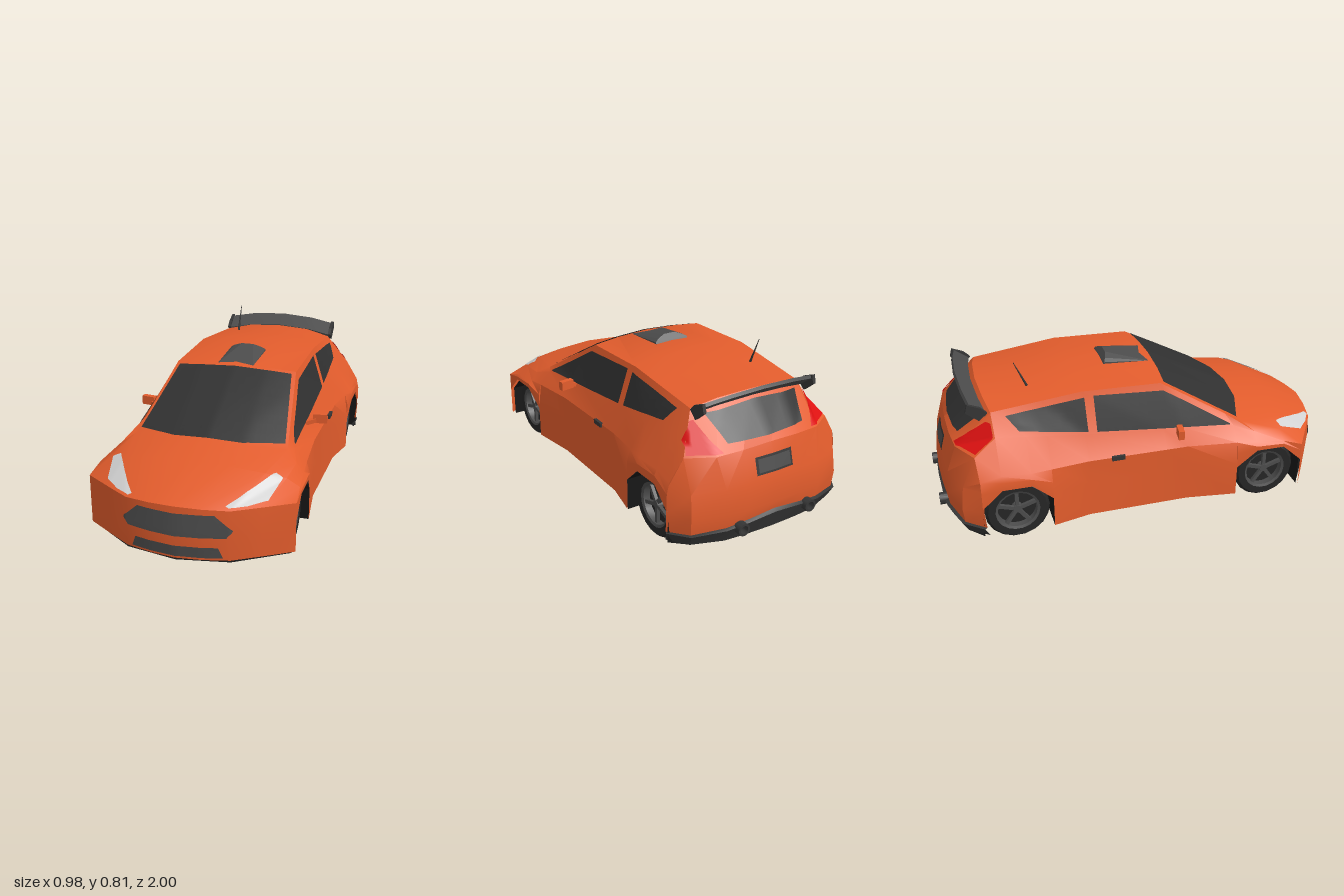
import * as THREE from 'three';
import { mergeGeometries, toCreasedNormals } from 'three/addons/utils/BufferGeometryUtils.js';
import { ConvexGeometry } from 'three/addons/geometries/ConvexGeometry.js';

const paint = (name, color) => new THREE.MeshStandardMaterial({ name, color, side: THREE.DoubleSide });
const V = (x, y, z) => new THREE.Vector3(x, y, z);
const mix = (a, b, t) => a.map((v, i) => v + (b[i] - v) * t);
const flip = (pts, s = -1) => pts.map(([x, ...rest]) => [x * s, ...rest]);
const mirror = (half) => [...half, ...flip(half.slice(0, -1).reverse())];

// Guide line along the car: each key is [station, ...value]
const rail = (...keys) => (z) => {
  let i = 1;
  while (i < keys.length - 1 && z < keys[i][0]) i++;
  const [a, b] = [keys[i - 1], keys[i]];
  return mix(a, b, THREE.MathUtils.clamp((a[0] - z) / (a[0] - b[0]), 0, 1)).slice(1);
};

// Surface through rows of [x, y, z] points
function grid(rows) {
  const n = rows[0].length, index = [];
  for (let i = 0; i < rows.length - 1; i++)
    for (let j = 0; j < n - 1; j++) {
      const a = i * n + j, c = a + n;
      index.push(a, c, a + 1, a + 1, c, c + 1);
    }
  const g = new THREE.BufferGeometry();
  g.setAttribute('position', new THREE.Float32BufferAttribute(rows.flat(2), 3));
  g.setIndex(index);
  g.computeVertexNormals();
  return g;
}
const creased = (rows) => toCreasedNormals(grid(rows), 0.4);

// Body guide lines, front to back
const FRONT = 0.618, REAR = -0.653, SILL = 0.062;
const flank = rail([0.786, 0.49], [0.548, 0.486], [0.45, 0.472], [0.2, 0.437], [-0.3, 0.437], [-0.485, 0.475], [-0.583, 0.481], [-0.821, 0.478]);
const shoulder = rail([0.786, 0.49, 0.31], [0.688, 0.48, 0.34], [0.45, 0.455, 0.355], [0.2, 0.437, 0.366],
  [-0.3, 0.437, 0.37], [-0.583, 0.468, 0.372], [-0.723, 0.466, 0.38], [-0.821, 0.465, 0.36]);
const belt = rail([0.786, 0.36, 0.31, 0.87], [0.688, 0.42, 0.375, 0.69], [0.548, 0.43, 0.39, 0.55], [0.45, 0.395, 0.42, 0.45],
  [-0.3, 0.373, 0.482, -0.3], [-0.723, 0.365, 0.53, -0.725], [-0.821, 0.4, 0.46, -0.83]);
const roofEdge = rail([0.786, 0.24, 0.31, 0.945], [0.688, 0.33, 0.4, 0.72], [0.548, 0.375, 0.425, 0.5], [0.09, 0.31, 0.668, 0.09],
  [-0.3, 0.31, 0.68, -0.3], [-0.723, 0.3, 0.63, -0.73], [-0.821, 0.28, 0.465, -0.905]);
const roofMid = rail([0.786, 0.12, 0.315, 0.975], [0.688, 0.17, 0.42, 0.74], [0.548, 0.18, 0.443, 0.55], [0.09, 0.17, 0.68, 0.1],
  [-0.3, 0.17, 0.703, -0.3], [-0.723, 0.17, 0.657, -0.75], [-0.821, 0.15, 0.47, -0.92]);
const spine = rail([0.786, 0, 0.32, 0.99], [0.688, 0, 0.428, 0.75], [0.548, 0, 0.455, 0.56], [0.09, 0, 0.687, 0.105],
  [-0.3, 0, 0.71, -0.3], [-0.723, 0, 0.665, -0.76], [-0.821, 0, 0.475, -0.925]);

// Half section from lower edge to centre line
function section([z, bottom]) {
  const [w] = flank(z), [sx, sy] = shoulder(z);
  return [[w, bottom, z], [w, bottom + 0.6 * (sy - bottom), z], [sx, sy, z], belt(z), roofEdge(z), roofMid(z), spine(z)];
}
const archTop = [[0.168, 0.22], [0.07, 0.31], [-0.07, 0.31], [-0.168, 0.22]];
const archAt = (zc) => archTop.map(([z, y]) => [z + zc, y]);
const bumper = [[0.478, -0.815], [0.41, -0.91], [0.26, -0.965], [0.15, -0.975], [0, -0.98]];
const bumperRow = (y, rise, scale) => bumper.map(([x, z]) => [x * scale, y + rise * (1 - x / 0.478), z * scale]);

function bodyGeometry() {
  const sills = [0.45, 0.2, 0.09, -0.3, -0.485].map((z) => [z, SILL]);
  const sections = [...archAt(FRONT), ...sills, ...archAt(REAR)].map(section);
  const nose = sections[0].slice(2), tail = sections[sections.length - 1].slice(2);
  const noseRow = (y, bulge) => nose.map(([x, , z]) => [x, y, z + bulge * (1 - (x / 0.49) ** 2)]);
  const front = [noseRow(0.073, 0), noseRow(0.19, 0.01), nose];
  const rear = [tail, bumperRow(0.31, 0.02, 0.985), bumperRow(0.2, 0, 1), bumperRow(0.11, 0.05, 0.99)];
  return toCreasedNormals(mergeGeometries([sections, front, rear].map((s) => grid(s.map(mirror)))), 0.45);
}

export function createModel() {
  const car = new THREE.Group();
  car.name = 'car';
  const orange = paint('orange paint', 0xe25c2c), glass = paint('dark glass', 0x313131),
    black = paint('black underside', 0x171717), tyreMat = paint('tyre rubber', 0x262626),
    grey = paint('grey trim', 0x4c4c4c), dark = paint('dark trim', 0x363636),
    lamp = paint('headlight white', 0xd2d2d2), red = paint('taillight red', 0xdc1010);
  const add = (name, geo, mat, parent = car) => {
    const m = new THREE.Mesh(geo, mat);
    m.name = name;
    parent.add(m);
    return m;
  };
  const box = (name, size, pos, mat, parent) => {
    const m = add(name, new THREE.BoxGeometry(...size), mat, parent);
    m.position.set(...pos);
    return m;
  };
  const hull = (name, pts, mat) => add(name, new ConvexGeometry(pts.map((p) => V(...p))), mat);
  const body = add('body', bodyGeometry(), orange);
  body.updateMatrixWorld();

  // Thin plates laid on the body between two 2D edges
  const ray = new THREE.Raycaster();
  const from = {
    front: [(a, b) => V(a, b, 3), V(0, 0, -1)], back: [(a, b) => V(a, b, -3), V(0, 0, 1)],
    top: [(a, b) => V(a, 3, b), V(0, -1, 0)],
    left: [(a, b) => V(3, b, a), V(-1, 0, 0)], right: [(a, b) => V(-3, b, a), V(1, 0, 0)],
  };
  function plate(name, mat, view, edgeA, edgeB, lift = 0.005) {
    const [origin, dir] = from[view], rows = [], S = 8;
    const at = (e, u) => {
      const i = Math.min(Math.floor(u), e.length - 2);
      return mix(e[i], e[i + 1], u - i);
    };
    for (let v = 0; v <= S; v++) {
      const row = [];
      for (let u = 0; u <= (edgeA.length - 1) * S; u++) {
        ray.set(origin(...mix(at(edgeA, u / S), at(edgeB, u / S), v / S)), dir);
        const hit = ray.intersectObject(body)[0];
        if (!hit) { row.push(row[row.length - 1] ?? rows[v - 1][u]); continue; }
        const n = hit.face.normal.clone();
        if (n.dot(dir) > 0) n.negate();
        row.push(hit.point.addScaledVector(n, lift).toArray());
      }
      rows.push(row);
    }
    add(name, grid(rows), mat);
  }
  plate('windscreen', glass, 'top', mirror([[0.292, 0.11], [0.16, 0.12], [0, 0.122]]), mirror([[0.357, 0.475], [0.17, 0.54], [0, 0.552]]));
  plate('rearWindow', glass, 'back', mirror([[0.255, 0.61], [0, 0.63]]), mirror([[0.21, 0.5], [0, 0.497]]));
  plate('upperGrille', grey, 'front', [[-0.25, 0.222], [-0.175, 0.29], [0.175, 0.29], [0.25, 0.222]],
    [[-0.25, 0.216], [-0.225, 0.186], [0.225, 0.186], [0.25, 0.216]]);
  plate('lowerGrille', grey, 'front', mirror([[0.19, 0.138], [0, 0.138]]), mirror([[0.21, 0.086], [0, 0.086]]));
  plate('plateSurround', dark, 'back', mirror([[0.1, 0.425], [0, 0.425]]), mirror([[0.1, 0.345], [0, 0.345]]));
  plate('numberPlate', grey, 'back', mirror([[0.088, 0.415], [0, 0.415]]), mirror([[0.088, 0.355], [0, 0.355]]), 0.008);

  const lathe = (...pts) => toCreasedNormals(new THREE.LatheGeometry(pts.map((p) => new THREE.Vector2(...p)), 18), 0.4);

  // Wheel: axis along x, outer face towards local +y
  function addWheel(name, s, zc) {
    const wheel = new THREE.Group();
    wheel.name = name;
    wheel.position.set(0.388 * s, 0.157, zc);
    wheel.rotation.z = -s * Math.PI / 2;
    car.add(wheel);
    add('tyre', lathe([0.108, -0.05], [0.143, -0.05], [0.157, -0.034], [0.157, 0.034], [0.143, 0.05], [0.108, 0.05]), tyreMat, wheel);
    add('rim', lathe([0.096, 0.01], [0.096, 0.044], [0.11, 0.05]), grey, wheel);
    add('rimDish', lathe([0, 0.01], [0.098, 0.01]), tyreMat, wheel);
    add('innerDisc', lathe([0.11, -0.048], [0, -0.035]), tyreMat, wheel);
    add('hub', new THREE.CylinderGeometry(0.02, 0.026, 0.03, 10), grey, wheel).position.y = 0.025;
    for (let i = 0; i < 5; i++) {
      const a = i * Math.PI * 0.4;
      box('spoke', [0.085, 0.016, 0.018], [Math.cos(a) * 0.056, 0.03, -Math.sin(a) * 0.056], grey, wheel).rotation.y = a;
    }
  }

  for (const s of [1, -1]) {
    const w = s > 0 ? 'left' : 'right';
    plate(w + 'FrontWindow', glass, w, [[0.43, 0.434], [0.1, 0.633], [-0.245, 0.655]], [[0.43, 0.428], [0.1, 0.456], [-0.242, 0.487]]);
    plate(w + 'RearWindow', glass, w, [[-0.29, 0.652], [-0.665, 0.61]], [[-0.285, 0.492], [-0.61, 0.54]]);
    plate(w + 'Headlight', lamp, 'top', flip([[0.23, 0.938], [0.3, 0.895], [0.375, 0.83], [0.405, 0.7]], s),
      flip([[0.215, 0.93], [0.26, 0.87], [0.31, 0.79], [0.37, 0.69]], s));
    plate(w + 'Taillight', red, 'back', flip([[0.308, 0.59], [0.28, 0.52], [0.245, 0.472]], s),
      flip([[0.325, 0.585], [0.37, 0.515], [0.39, 0.468]], s));

    // Door mirror, stalk and handle
    box(w + 'Mirror', [0.07, 0.045, 0.028], [0.451 * s, 0.463, 0.15], orange).rotation.y = 0.15 * s;
    box(w + 'MirrorStalk', [0.07, 0.02, 0.025], [0.4 * s, 0.446, 0.172], orange).rotation.set(0, 0.4 * s, 0.25 * s);
    box(w + 'DoorHandle', [0.016, 0.022, 0.065], [0.438 * s, 0.366, -0.155], dark);

    // Exhaust pipe
    const pipe = add(w + 'Exhaust', lathe([0, -0.03], [0.02, -0.03], [0.02, 0.04], [0.03, 0.04], [0.03, -0.06]), dark);
    pipe.rotation.x = -Math.PI / 2;
    pipe.position.set(0.19 * s, 0.125, -0.96);

    // Wheels and their wells
    for (const [end, zc] of [['Front', FRONT], ['Rear', REAR]]) {
      const arch = archAt(zc), path = [[arch[0][0], SILL], ...arch, [arch[3][0], SILL]];
      const ring = (x, top) => path.map(([z, y]) => [x * s, Math.min(y, top), z]);
      add(w + end + 'WheelWell', creased([ring(0.472, 1), ring(0.29, 1), ring(0.29, SILL)]), black);
      addWheel(w + end + 'Wheel', s, zc);
    }

    // Spoiler end plate
    hull(w + 'SpoilerEnd', [[-0.745, 0.635], [-0.775, 0.665], [-0.835, 0.69], [-0.845, 0.65], [-0.785, 0.6]]
      .flatMap(([z, y]) => [[0.296 * s, y, z], [0.312 * s, y, z]]), dark);
  }

  // Underside with wheel notches
  const notch = (zc) => [[-0.168, 0.468], [-0.168, 0.29], [0.168, 0.29], [0.168, 0.468]].map(([z, x]) => [x, z + zc]);
  const floorHalf = [...bumper.slice(1).reverse().map(([x, z]) => [x * 0.97, z * 0.975]), ...notch(REAR),
    [0.43, -0.3], [0.433, 0.2], ...notch(FRONT), [0.24, 0.94], [0, 0.985]];
  const floor = new THREE.Shape(mirror(floorHalf).slice(0, -1).map((p) => new THREE.Vector2(...p)));
  add('underside', new THREE.ShapeGeometry(floor).rotateX(Math.PI / 2).translate(0, SILL, 0), black);

  // Rear diffuser
  add('diffuser', creased([bumperRow(0.112, 0.05, 0.99), bumperRow(0.11, 0.04, 1.005), bumperRow(SILL, 0, 0.975)].map(mirror)), dark);

  // Roof spoiler blade, bowed across the car
  const blade = [[-0.785, 0.645], [-0.78, 0.662], [-0.852, 0.714], [-0.86, 0.7], [-0.785, 0.645]];
  add('spoiler', creased([-0.305, -0.18, 0, 0.18, 0.305].map((x) => {
    const bow = 0.32 * x * x;
    return blade.map(([z, y]) => [x, y - bow, z + bow]);
  })), grey);

  // Roof scoop and aerial
  const scoop = [[0.092, 0.672, 0.105], [0.092, 0.683, 0.1], [0.092, 0.69, -0.14], [0.092, 0.705, -0.13], [0.07, 0.718, -0.12], [0.03, 0.732, -0.11]];
  hull('roofScoop', [...scoop, ...flip(scoop)], grey);
  const aerial = add('aerial', new THREE.CylinderGeometry(0.0015, 0.006, 0.14, 6), dark);
  aerial.position.set(-0.179, 0.745, -0.563);
  aerial.rotation.x = -0.42;
  return car;
}
